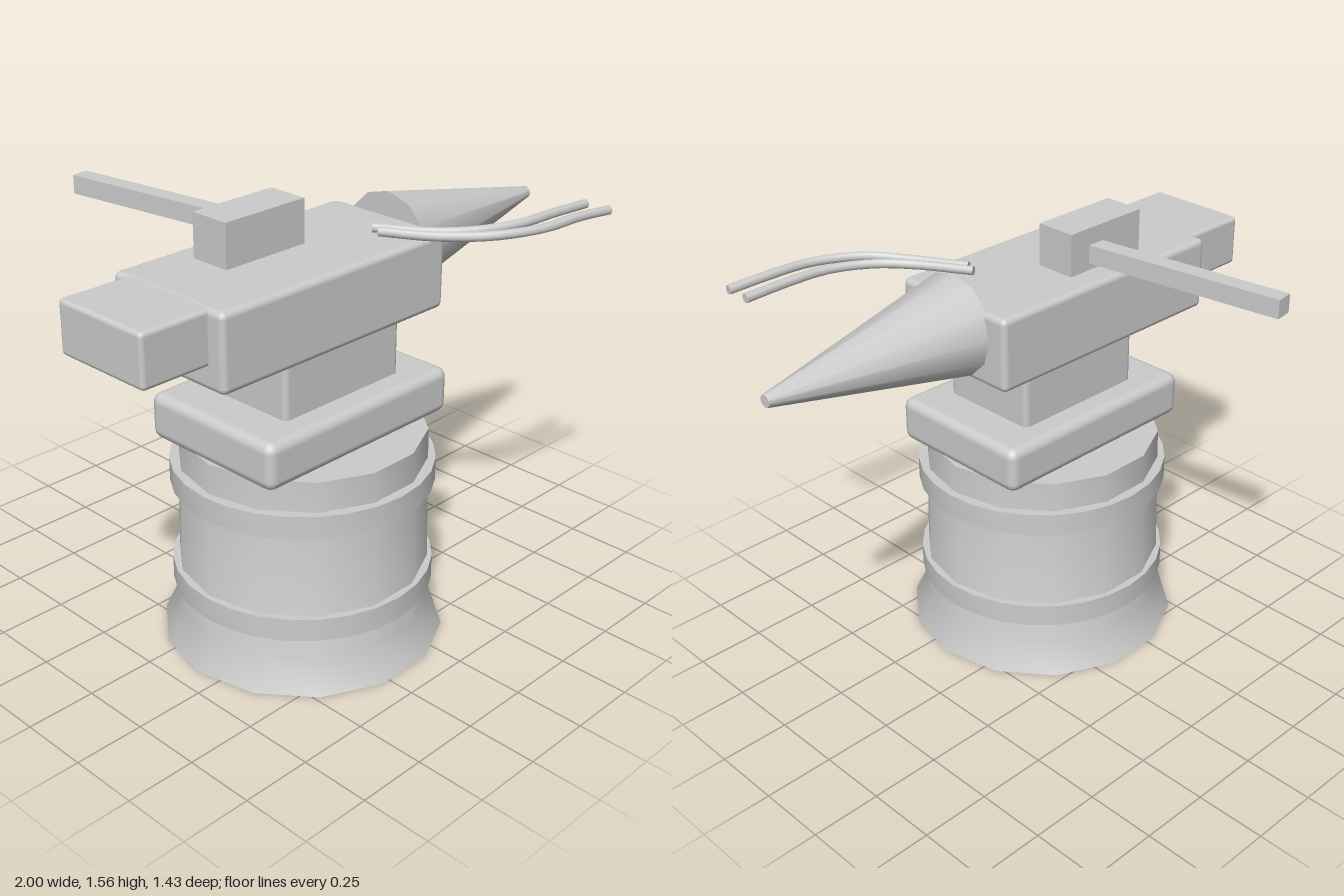
import * as THREE from 'three';
import { toCreasedNormals } from 'three/addons/utils/BufferGeometryUtils.js';
import { RoundedBoxGeometry } from 'three/addons/geometries/RoundedBoxGeometry.js';

const CX = -0.175; // stump axis
const CZ = 0.165;

export function createModel() {
  const model = new THREE.Group();
  model.name = 'anvilOnStump';
  const grey = new THREE.MeshStandardMaterial({ color: 0xcccccc });
  grey.name = 'plain grey';

  const add = (name, geometry, x = 0, y = 0, z = 0) => {
    const mesh = new THREE.Mesh(geometry, grey);
    mesh.name = name;
    mesh.position.set(x, y, z);
    model.add(mesh);
    return mesh;
  };

  // Box given by its limits, with softened edges when radius > 0
  const box = (name, [x0, x1], [y0, y1], [z0, z1], radius = 0) => {
    const size = [x1 - x0, y1 - y0, z1 - z0];
    const geometry = radius ? new RoundedBoxGeometry(...size, 2, radius) : new THREE.BoxGeometry(...size);
    return add(name, geometry, (x0 + x1) / 2, (y0 + y1) / 2, (z0 + z1) / 2);
  };

  // Turned shape about the stump axis
  const turned = (name, profile, sides) => {
    const points = profile.map(([r, y]) => new THREE.Vector2(r, y));
    const geometry = new THREE.LatheGeometry(points, sides, Math.PI / 2);
    return add(name, toCreasedNormals(geometry, 0.6), CX, 0, CZ);
  };

  // Stump with flared foot and two iron hoops
  turned('stump', [[0, 0], [0.495, 0], [0.44, 0.12], [0.425, 0.77], [0, 0.77]], 14);
  for (const [name, y] of [['lowerHoop', 0.195], ['upperHoop', 0.58]]) {
    turned(name, [[0.41, y], [0.453, y], [0.453, y + 0.083], [0.41, y + 0.083], [0.41, y]], 28);
  }

  // Anvil
  box('anvilFoot', [-0.6, 0.245], [0.767, 0.932], [-0.12, 0.45], 0.035);
  box('anvilWaist', [-0.44, 0.09], [0.9, 1.136], [-0.025, 0.355], 0.02);
  box('anvilBody', [-0.75, 0.243], [1.14, 1.405], [-0.085, 0.413], 0.022);
  box('anvilHeel', [-1, -0.7], [1.22, 1.403], [-0.03, 0.35], 0.016);

  // Horn tapering towards +x
  const horn = new THREE.CylinderGeometry(0.022, 0.181, 0.77, 12);
  horn.rotateZ(-Math.PI / 2);
  add('anvilHorn', toCreasedNormals(horn, 0.6), 0.615, 1.31, CZ);

  // Hammer lying on the anvil
  box('hammerHead', [-0.5, -0.16], [1.405, 1.558], [0.01, 0.16]);
  const handle = box('hammerHandle', [-0.359, -0.294], [1.43, 1.496], [-0.718, 0.078]);
  handle.rotation.y = 0.137;

  // Pair of curved tong bars
  const tongPaths = [
    [[0.065, 1.425, 0.25], [0.165, 1.425, 0.417], [0.27, 1.43, 0.52], [0.417, 1.435, 0.585], [0.567, 1.435, 0.597], [0.748, 1.427, 0.602]],
    [[0.05, 1.425, 0.29], [0.14, 1.425, 0.45], [0.256, 1.433, 0.59], [0.425, 1.437, 0.67], [0.594, 1.437, 0.683], [0.748, 1.427, 0.697]],
  ];
  tongPaths.forEach((path, i) => {
    const curve = new THREE.CatmullRomCurve3(path.map((p) => new THREE.Vector3(...p)));
    add(i ? 'outerTongBar' : 'innerTongBar', new THREE.TubeGeometry(curve, 18, 0.017, 8));
    // Closed bar ends
    [0, 1].forEach((t) => {
      const cap = add('tongBarEnd', new THREE.CircleGeometry(0.017, 8));
      const tangent = curve.getTangent(t).multiplyScalar(t ? 1 : -1);
      cap.position.copy(curve.getPoint(t));
      cap.quaternion.setFromUnitVectors(new THREE.Vector3(0, 0, 1), tangent);
    });
  });

  return model;
}
